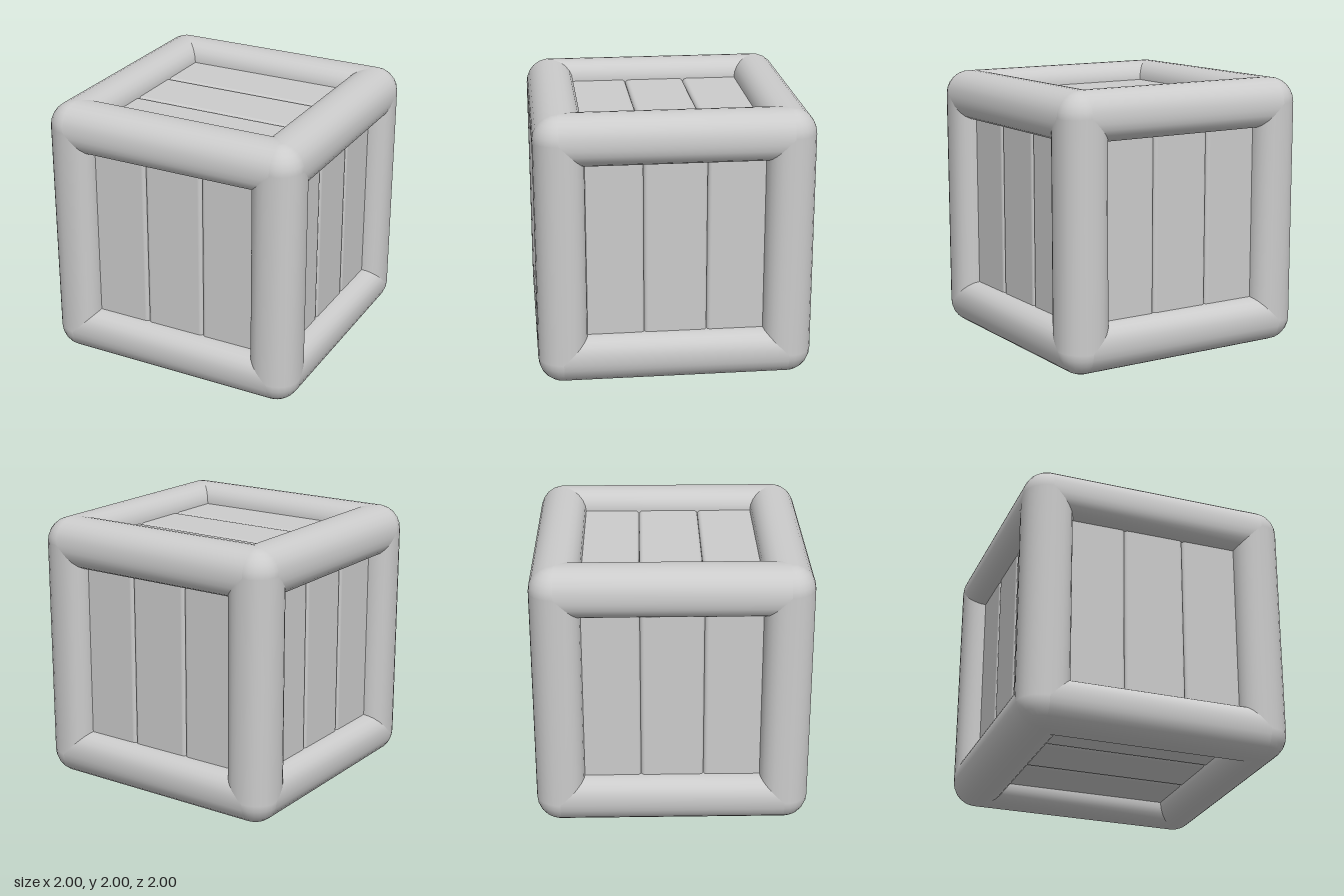
import * as THREE from 'three';
import { RoundedBoxGeometry } from 'three/addons/geometries/RoundedBoxGeometry.js';

const R = 0.18;        // rounding of the outer edges
const C = 1 - R;       // centre line of the frame bars
const INNER = 0.64;    // half width of each opening
const INNER_R = 0.14;  // rounding of the opening edges
const PANEL = 0.86;    // distance of the plank faces from the centre

// Cross-section of a bar, from one opening over the outer edge to the next.
function barProfile() {
  const lip = [[INNER, 0.72]];
  for (let i = 0; i <= 5; i++) {
    const t = Math.PI - (i / 5) * Math.PI / 2;
    lip.push([INNER + INNER_R + INNER_R * Math.cos(t), 1 - INNER_R + INNER_R * Math.sin(t)]);
  }
  const outer = [];
  for (let i = 0; i <= 6; i++) {
    const t = Math.PI / 2 * (1 - i / 6);
    outer.push([C + R * Math.cos(t), C + R * Math.sin(t)]);
  }
  return [...lip, ...outer, ...lip.map(([a, b]) => [b, a]).reverse()];
}

// Bar along z, its ends mitred where it meets the neighbouring bars.
function barGeometry() {
  const pos = [], index = [];
  const profile = barProfile();
  profile.forEach(([a, b], i) => {
    const e = Math.min(a, b, C);
    pos.push(a, b, -e, a, b, e);
    if (i < profile.length - 1) {
      const k = 2 * i;
      index.push(k, k + 1, k + 2, k + 1, k + 3, k + 2);
    }
  });
  const g = new THREE.BufferGeometry();
  g.setAttribute('position', new THREE.Float32BufferAttribute(pos, 3));
  g.setIndex(index);
  g.computeVertexNormals();
  return g;
}

export function createModel() {
  const root = new THREE.Group();
  root.name = 'crate';
  const body = new THREE.Group();
  body.name = 'crateBody';
  body.position.y = 1;
  root.add(body);
  const mat = new THREE.MeshStandardMaterial({ color: 0xcccccc });

  // Twelve frame bars: four around each axis
  const frame = new THREE.Group();
  frame.name = 'frame';
  body.add(frame);
  const bar = barGeometry();
  const half = Math.PI / 2;
  for (const [rx, ry] of [[0, 0], [half, 0], [0, half]]) {
    const set = new THREE.Group();
    set.name = 'frameBars';
    set.rotation.set(rx, ry, 0);
    for (let i = 0; i < 4; i++) {
      const m = new THREE.Mesh(bar, mat);
      m.name = 'frameBar';
      m.rotation.z = i * half;
      set.add(m);
    }
    frame.add(set);
  }

  // Ball-rounded corners
  const ball = new THREE.SphereGeometry(R, 24, 12);
  for (const x of [-C, C]) for (const y of [-C, C]) for (const z of [-C, C]) {
    const m = new THREE.Mesh(ball, mat);
    m.name = 'frameCorner';
    m.position.set(x, y, z);
    frame.add(m);
  }

  // Three recessed planks on every face; upright on the sides, along x on top and bottom
  const pitch = 0.456, thick = 0.1;
  const plank = new RoundedBoxGeometry(pitch, 1.36, thick, 3, 0.03);
  const faces = [
    ['front', 0, 0, 0], ['left', 0, half, 0], ['back', 0, 2 * half, 0], ['right', 0, -half, 0],
    ['top', -half, 0, half], ['bottom', half, 0, half],
  ];
  for (const [name, rx, ry, rz] of faces) {
    const panel = new THREE.Group();
    panel.name = name + 'Panel';
    panel.rotation.set(rx, ry, rz);
    for (let i = -1; i <= 1; i++) {
      const m = new THREE.Mesh(plank, mat);
      m.name = 'plank';
      m.position.set(i * pitch, 0, PANEL - thick / 2);
      panel.add(m);
    }
    body.add(panel);
  }
  return root;
}
